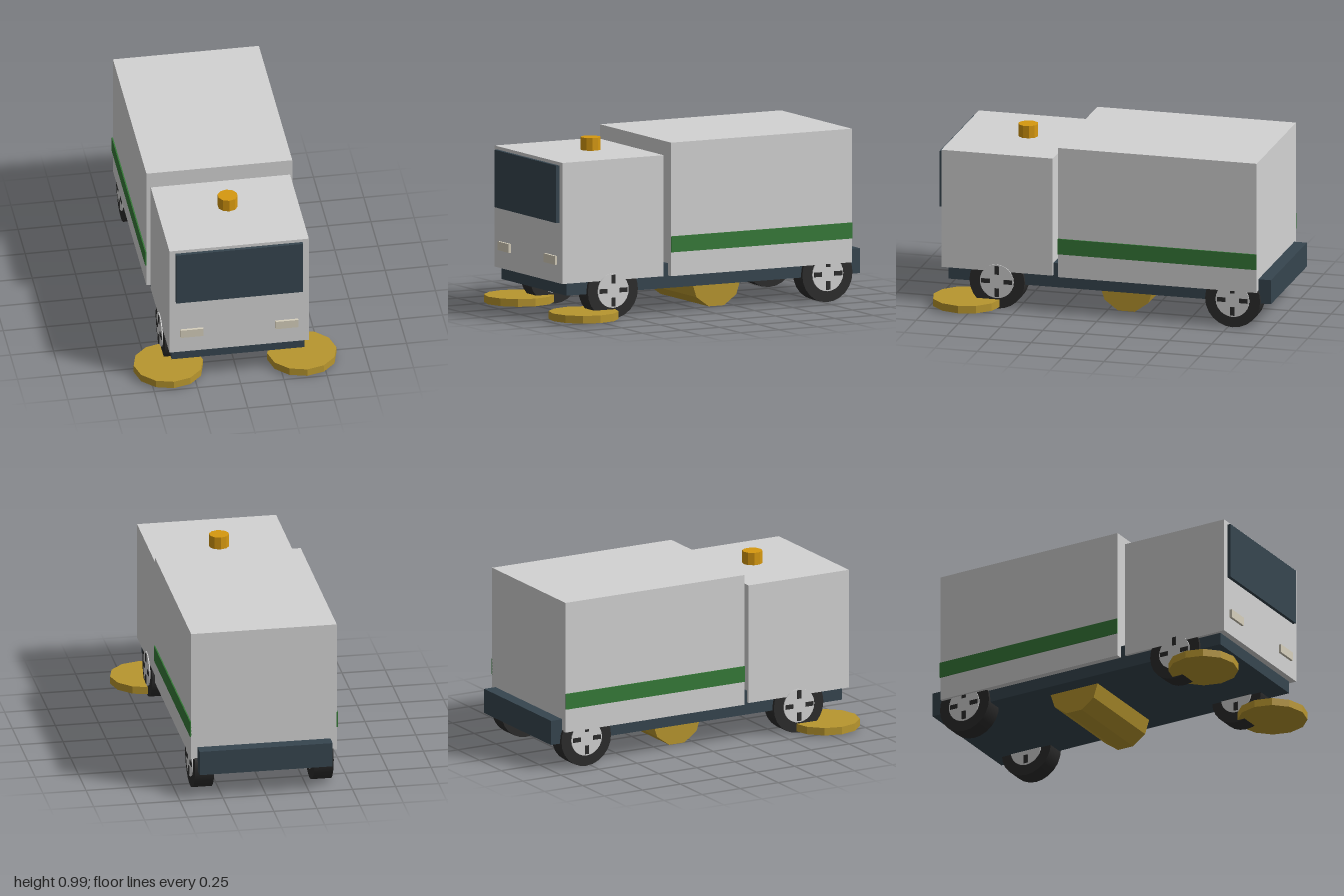
import * as THREE from 'three';

const mat = (name, color) => {
  const m = new THREE.MeshStandardMaterial({ color });
  m.name = name;
  return m;
};

export function createModel() {
  const model = new THREE.Group();
  model.name = 'streetSweeper';

  const white = mat('bodyGrey', 0xd3d3d3);
  const slate = mat('slate', 0x36454f);
  const green = mat('stripeGreen', 0x367a38);
  const brush = mat('brushYellow', 0xb8962e);
  const amber = mat('beaconAmber', 0xd6980f);
  const cream = mat('lampCream', 0xd6cfbc);
  const rubber = mat('rubber', 0x2c2c2c);

  const add = (parent, name, geometry, material) => {
    const mesh = new THREE.Mesh(geometry, material);
    mesh.name = name;
    parent.add(mesh);
    return mesh;
  };
  // Box given by its lower and upper limits on each axis
  const block = (parent, name, material, [x0, x1], [y0, y1], [z0, z1]) =>
    add(parent, name, new THREE.BoxGeometry(x1 - x0, y1 - y0, z1 - z0), material)
      .position.set((x0 + x1) / 2, (y0 + y1) / 2, (z0 + z1) / 2);
  // Faceted drum
  const drum = (r, h, sides) => {
    const g = new THREE.CylinderGeometry(r, r, h, sides).toNonIndexed();
    g.computeVertexNormals();
    return g;
  };

  // Main bodies
  block(model, 'chassis', slate, [-0.385, 0.385], [0.15, 0.293], [-1, 0.91]);
  block(model, 'cab', white, [-0.403, 0.403], [0.222, 0.92], [0.287, 0.946]);
  block(model, 'hopper', white, [-0.422, 0.422], [0.222, 0.992], [-0.926, 0.25]);
  block(model, 'windscreen', slate, [-0.367, 0.367], [0.57, 0.901], [0.94, 0.966]);

  // Beacon on the cab roof
  add(model, 'beacon', drum(0.058, 0.08, 10), amber).position.set(0, 0.953, 0.542);

  // Roller brush under the chassis
  const roller = add(model, 'rollerBrush', drum(0.16, 0.576, 10), brush);
  roller.rotation.z = Math.PI / 2;
  roller.position.set(0, 0.162, -0.118);

  // Wheel along the x axis with a slotted rim on both faces
  const makeWheel = () => {
    const wheel = new THREE.Group();
    wheel.name = 'wheel';
    add(wheel, 'tyre', new THREE.CylinderGeometry(0.163, 0.163, 0.112, 24), rubber).rotation.z = Math.PI / 2;
    add(wheel, 'rim', new THREE.CylinderGeometry(0.1, 0.1, 0.124, 24), white).rotation.z = Math.PI / 2;
    for (let i = 0; i < 4; i++) {
      const a = i * Math.PI / 2;
      for (const s of [-1, 1]) {
        const slot = add(wheel, 'rimSlot', new THREE.BoxGeometry(0.008, 0.05, 0.026), rubber);
        slot.position.set(s * 0.062, Math.cos(a) * 0.066, Math.sin(a) * 0.066);
        slot.rotation.x = a;
      }
    }
    return wheel;
  };

  // Paired parts
  for (const s of [-1, 1]) {
    const span = (a, b) => (s > 0 ? [a, b] : [-b, -a]);
    block(model, 'sideStripe', green, span(0.421, 0.429), [0.36, 0.452], [-0.926, 0.25]);
    block(model, 'headlight', cream, span(0.208, 0.341), [0.326, 0.376], [0.94, 0.961]);
    add(model, 'gutterBrush', drum(0.2, 0.044, 12), brush).position.set(s * 0.386, 0.032, 0.798);
    for (const z of [0.617, -0.778]) {
      const wheel = makeWheel();
      wheel.position.set(s * 0.346, 0.163, z);
      model.add(wheel);
    }
  }
  return model;
}
